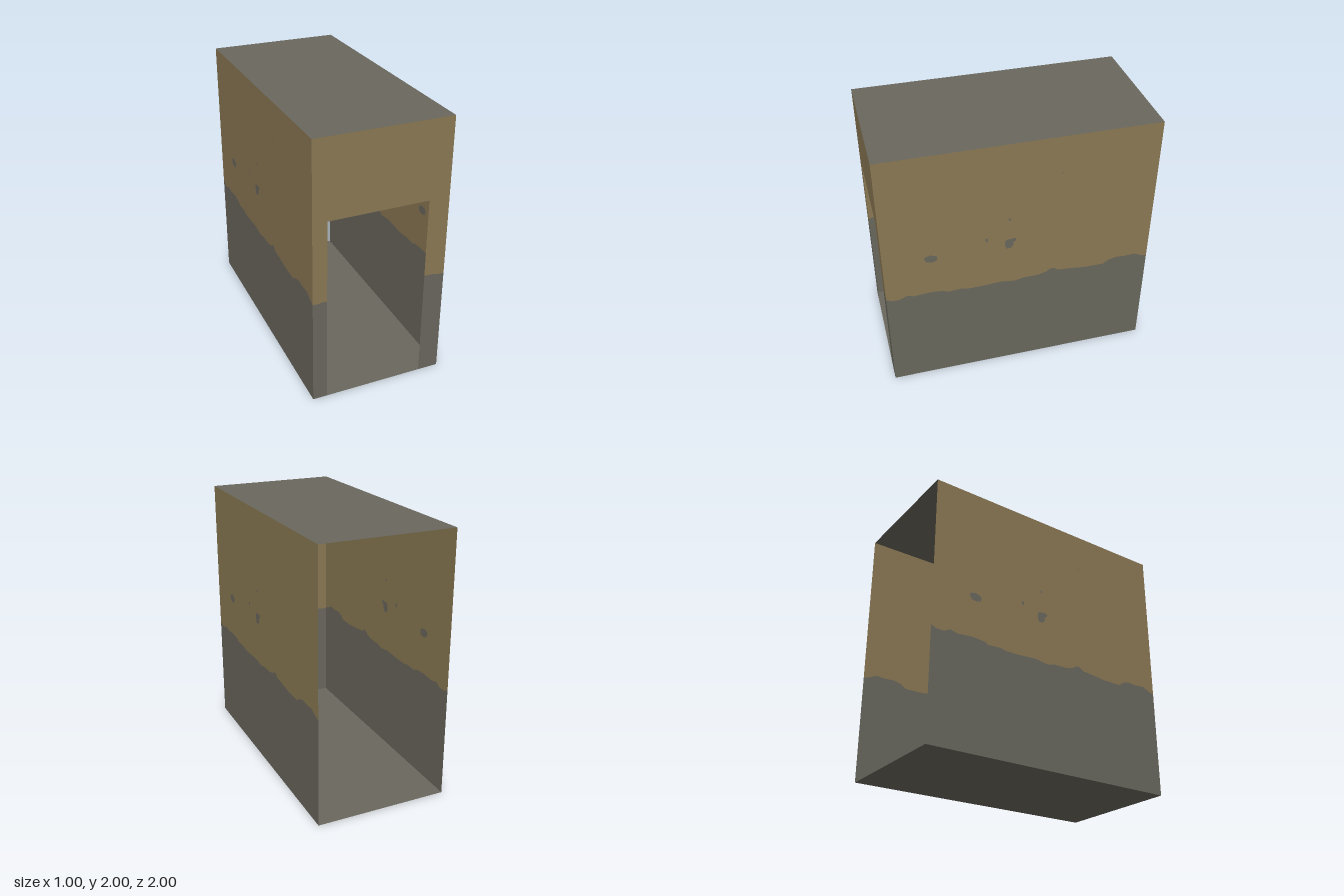
import * as THREE from 'three';

const W = 0.5, H = 2, D = 1;

// Height of the plaster edge along a side wall, from front to back
const EDGE = [
  [-1, 0.83], [-0.96, 0.81], [-0.9, 0.81], [-0.85, 0.835], [-0.8, 0.82], [-0.68, 0.83],
  [-0.58, 0.822], [-0.55, 0.805], [-0.45, 0.81], [-0.4, 0.8], [-0.3, 0.8], [-0.15, 0.81],
  [-0.04, 0.795], [0.02, 0.81], [0.14, 0.812], [0.2, 0.83], [0.23, 0.852], [0.26, 0.85],
  [0.29, 0.828], [0.42, 0.815], [0.5, 0.805], [0.65, 0.805], [0.69, 0.835], [0.75, 0.85],
  [0.82, 0.845], [0.9, 0.85], [0.95, 0.825], [1, 0.81],
];

// Patches where the plaster has fallen off
const oval = (x, y, rx, ry) => Array.from({ length: 10 }, (_, i) => {
  const a = i / 10 * Math.PI * 2;
  return [x + rx * Math.cos(a), y + ry * Math.sin(a)];
});
const PATCHES = [
  [[-0.708, 1.15], [-0.695, 1.168], [-0.68, 1.17], [-0.66, 1.178], [-0.645, 1.17], [-0.62, 1.165],
    [-0.61, 1.145], [-0.617, 1.12], [-0.65, 1.11], [-0.69, 1.117]],
  [[-0.12, 1.15], [-0.118, 1.19], [-0.1, 1.2], [-0.04, 1.205], [-0.035, 1.185], [-0.06, 1.165],
    [-0.055, 1.145], [-0.075, 1.12], [-0.11, 1.118]],
  oval(-0.253, 1.227, 0.01, 0.017),
  oval(-0.085, 1.378, 0.009, 0.011),
  oval(0.29, 1.707, 0.007, 0.005),
];

const toPoints = (list) => list.map(([x, y]) => new THREE.Vector2(x, y));

export function createModel() {
  const plaster = new THREE.MeshStandardMaterial({ color: 0x8a7853, side: THREE.DoubleSide });
  plaster.name = 'tan plaster';
  const stone = new THREE.MeshStandardMaterial({ color: 0x69675d, side: THREE.DoubleSide });
  stone.name = 'grey stone';

  const model = new THREE.Group();
  model.name = 'passage';

  const sheet = (parent, name, points, material, holes = []) => {
    const shape = new THREE.Shape(toPoints(points));
    shape.holes = holes.map((h) => new THREE.Path(toPoints(h)));
    const mesh = new THREE.Mesh(new THREE.ShapeGeometry(shape), material);
    mesh.name = name;
    parent.add(mesh);
    return mesh;
  };

  // Side walls: the same wall turned half round
  for (const side of [1, -1]) {
    const wall = new THREE.Group();
    wall.name = side > 0 ? 'leftWall' : 'rightWall';
    sheet(wall, 'wallBase', [[D, 0], ...[...EDGE].reverse(), [-D, 0]], stone);
    sheet(wall, 'wallPlaster', [...EDGE, [D, H], [-D, H]], plaster, PATCHES);
    PATCHES.forEach((p) => sheet(wall, 'bareStonePatch', p, stone));
    wall.rotation.y = side * Math.PI / 2;
    wall.position.x = side * W;
    model.add(wall);
  }

  // Front wall around the off-centre doorway
  const front = new THREE.Group();
  front.name = 'frontWall';
  const x0 = -0.395, x1 = 0.345, top = 1.415;
  const leftEdge = [[-W, 0.803], [-0.46, 0.803], [-0.43, 0.81], [x0, 0.805]];
  const rightEdge = [[x1, 0.822], [0.41, 0.822], [0.45, 0.812], [W, 0.81]];
  sheet(front, 'frontPlaster', [...leftEdge, [x0, top], [x1, top], ...rightEdge, [W, H], [-W, H]], plaster);
  sheet(front, 'frontBaseRight', [[-W, 0], [x0, 0], ...[...leftEdge].reverse()], stone);
  sheet(front, 'frontBaseLeft', [[x1, 0], [W, 0], ...[...rightEdge].reverse()], stone);
  front.position.z = D;
  model.add(front);

  // Floor and ceiling; the back stays open
  for (const [name, y, turn] of [['floor', 0, -1], ['ceiling', H, -1]]) {
    const slab = new THREE.Mesh(new THREE.PlaneGeometry(W * 2, D * 2), stone);
    slab.name = name;
    slab.rotation.x = turn * Math.PI / 2;
    slab.position.y = y;
    model.add(slab);
  }
  return model;
}
